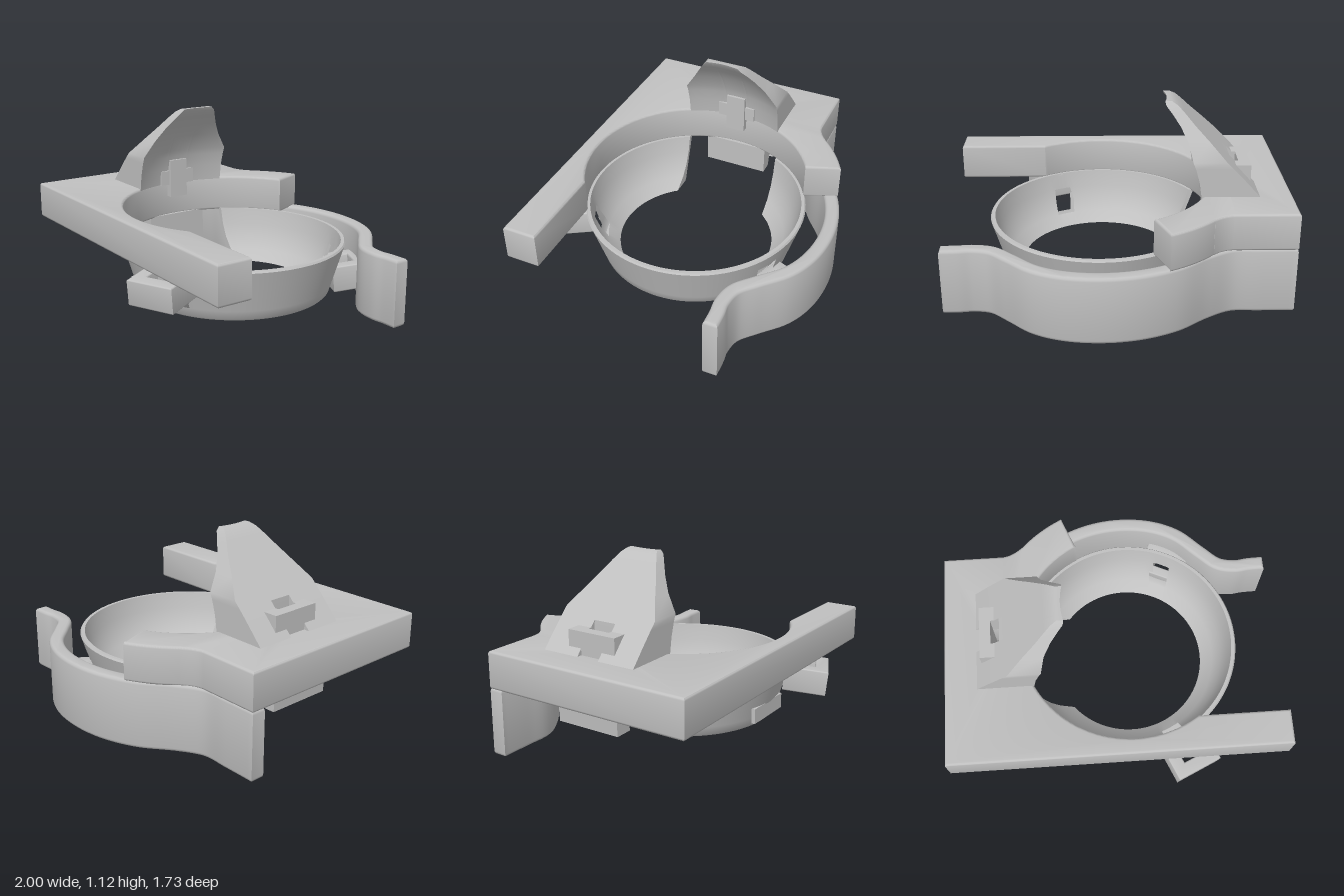
import * as THREE from 'three';
import { toCreasedNormals } from 'three/addons/utils/BufferGeometryUtils.js';

const CX = 0.1; // x of the cup axis
const BRACKET = 0.43; // angle of the side brackets off the z axis

export function createModel() {
  const model = new THREE.Group();
  const grey = new THREE.MeshStandardMaterial({ color: 0xc0c0c0, side: THREE.DoubleSide });
  grey.name = 'grey plastic';

  function add(name, geometry, parent = model) {
    const mesh = new THREE.Mesh(toCreasedNormals(geometry, 0.6), grey);
    mesh.name = name;
    parent.add(mesh);
    return mesh;
  }

  function box(name, x0, x1, y0, y1, z0, z1) {
    const mesh = add(name, new THREE.BoxGeometry(x1 - x0, y1 - y0, z1 - z0));
    mesh.position.set((x0 + x1) / 2, (y0 + y1) / 2, (z0 + z1) / 2);
  }

  // Horizontal slab from an outline in x and z
  function slab(shape, y0, y1, bevel) {
    const g = new THREE.ExtrudeGeometry(shape, {
      depth: y1 - y0 - 2 * bevel, bevelEnabled: true, bevelSize: bevel,
      bevelThickness: bevel, bevelOffset: -bevel, bevelSegments: 3, curveSegments: 64,
    });
    return g.rotateX(Math.PI / 2).translate(0, y1 - bevel, 0);
  }

  function rectPath(x0, x1, z0, z1, Type = THREE.Path) {
    return new Type([[x0, z0], [x1, z0], [x1, z1], [x0, z1]].map(p => new THREE.Vector2(...p)));
  }

  // Mounting plate with the long front bar and the shoulder over the back arm
  const plate = new THREE.Shape();
  plate.moveTo(-1, 0.74);
  plate.lineTo(-1, -0.54);
  plate.lineTo(-0.64, -0.54);
  plate.quadraticCurveTo(-0.58, -0.545, -0.52, -0.598);
  plate.absarc(CX, 0, 0.86, Math.atan2(-0.598, -0.62), Math.atan2(-0.776, -0.37), false);
  plate.lineTo(-0.19, -0.582);
  plate.absarc(CX, 0, 0.65, Math.atan2(-0.582, -0.29), Math.atan2(0.54, 0.362) - 2 * Math.PI, true);
  plate.lineTo(1, 0.54);
  plate.lineTo(1, 0.74);
  plate.closePath();
  plate.holes.push(rectPath(-0.71, -0.66, -0.07, 0.07));
  add('plate', slab(plate, 0.39, 0.612, 0.015));

  // Curved spring arm and the back wall it grows from
  const spine = new THREE.CatmullRomCurve3([
    [-1, -0.497], [-0.8, -0.497], [-0.63, -0.5], [-0.48, -0.58], [-0.3, -0.715], [-0.1, -0.795],
    [0.1, -0.82], [0.3, -0.795], [0.46, -0.725], [0.6, -0.598], [0.71, -0.505], [0.82, -0.482],
    [0.9, -0.49], [1, -0.493],
  ].map(([x, z]) => new THREE.Vector3(x, 0, z)));
  const near = [], far = [];
  for (let i = 0; i <= 80; i++) {
    const p = spine.getPoint(i / 80), t = spine.getTangent(i / 80);
    near.push(new THREE.Vector2(p.x - t.z * 0.042, p.z + t.x * 0.042));
    far.push(new THREE.Vector2(p.x + t.z * 0.042, p.z - t.x * 0.042));
  }
  add('springArm', slab(new THREE.Shape([...near, ...far.reverse()]), 0, 0.4, 0.02));

  // Tapered cup, open towards the tower where |z| < 0.3, with a window at each bracket
  const profile = [
    [0.47, 0.09], [0.565, 0.09], [0.575, 0.1], [0.59, 0.15], [0.635, 0.3], [0.662, 0.39],
    [0.655, 0.4], [0.635, 0.4], [0.615, 0.3], [0.585, 0.22], [0.54, 0.15], [0.48, 0.1], [0.47, 0.09],
  ].map(p => new THREE.Vector2(...p));
  const segments = 120;
  const cup = new THREE.LatheGeometry(profile, segments, -Math.PI / 2, 2 * Math.PI);
  const pos = cup.attributes.position;
  for (let k = 0; k < pos.count; k++) {
    const p = profile[k % profile.length];
    const turn = (Math.floor(k / profile.length) / segments) * 2 - 1;
    const phi = Math.PI / 2 + turn * (Math.PI - Math.asin(0.3 / p.x));
    pos.setXYZ(k, CX + p.x * Math.sin(phi), p.y, p.x * Math.cos(phi));
  }
  const faces = cup.index.array, kept = [];
  for (let f = 0; f < faces.length; f += 3) {
    const tri = [...faces.slice(f, f + 3)];
    const inWindow = tri.every(k => {
      const off = Math.atan2(pos.getX(k) - CX, Math.abs(pos.getZ(k))) - BRACKET;
      return Math.abs(off) < 0.13 && pos.getY(k) > 0.14 && pos.getY(k) < 0.31;
    });
    if (!inWindow) kept.push(...tri);
  }
  cup.setIndex(kept);
  add('cup', cup);
  const cupEnd = new THREE.Shape(profile.slice(0, -1).map(p =>
    new THREE.Vector2(CX - Math.sqrt(p.x * p.x - 0.09), p.y)));
  for (const side of [-1, 1]) add('cupEnd', new THREE.ShapeGeometry(cupEnd)).position.z = side * 0.3;

  // Leaning tower: levels of [height, back x, inner radius, half width]
  const levels = [
    [0.6, -0.82, 0.65, 0.3], [0.7, -0.73, 0.637, 0.3], [0.78, -0.655, 0.617, 0.3],
    [0.82, -0.615, 0.603, 0.3], [0.92, -0.52, 0.55, 0.235], [1.0, -0.44, 0.49, 0.185],
    [1.06, -0.385, 0.435, 0.147], [1.1, -0.345, 0.395, 0.12], [1.12, -0.31, 0.385, 0.1],
  ];
  function towerStrip(z0, z1, backLimit) {
    const n = 12, ring = 2 * n, verts = [], index = [];
    for (const [y, back, r, w] of levels) {
      const a = Math.max(z0, -w), b = Math.min(z1, w), inner = [], outer = [];
      for (let i = 0; i < n; i++) {
        const z = b + (a - b) * i / (n - 1);
        inner.push([CX - Math.sqrt(r * r - z * z), y, z]);
        outer.unshift([Math.max(back, backLimit), y, z]);
      }
      verts.push(...inner.flat(), ...outer.flat());
    }
    const quad = (a, b, c, d) => index.push(a, b, c, a, c, d);
    for (let l = 0; l < levels.length - 1; l++) {
      for (let i = 0; i < ring; i++) {
        const j = (i + 1) % ring, o = l * ring;
        quad(o + i, o + j, o + ring + j, o + ring + i);
      }
    }
    const top = (levels.length - 1) * ring;
    for (let i = 0; i < n - 1; i++) {
      quad(top + i, top + i + 1, top + ring - 2 - i, top + ring - 1 - i);
      quad(ring - 1 - i, ring - 2 - i, i + 1, i);
    }
    const g = new THREE.BufferGeometry();
    g.setAttribute('position', new THREE.Float32BufferAttribute(verts, 3));
    g.setIndex(index);
    return g;
  }
  add('towerLeft', towerStrip(0.07, 1, -1));
  add('towerCentre', towerStrip(-0.07, 0.07, -0.66));
  add('towerRight', towerStrip(-1, -0.07, -1));

  // Catch on the tower's back and latch on its inner face
  box('catchBack', -0.775, -0.71, 0.6, 0.745, -0.155, 0.155);
  for (const s of [-1, 1]) box('catchSide', -0.71, -0.68, 0.6, 0.745, s * 0.1125 - 0.0425, s * 0.1125 + 0.0425);
  box('latch', -0.6, -0.505, 0.52, 0.76, -0.06, 0.06);
  box('latchPin', -0.57, -0.52, 0.6, 0.69, -0.12, 0.12);

  // Hooks under the plate
  function hook(points) {
    const shape = new THREE.Shape(points.map(p => new THREE.Vector2(...p)));
    add('underHook', new THREE.ExtrudeGeometry(shape, { depth: 0.4, bevelEnabled: false })).position.z = -0.2;
  }
  hook([[-0.83, 0.4], [-0.82, 0.22], [-0.71, 0.22], [-0.75, 0.4]]);
  hook([[-0.66, 0.4], [-0.61, 0.22], [-0.53, 0.22], [-0.53, 0.4]]);

  // Hollow side brackets, built along +z and turned about the cup axis
  function bracket(name, turn, y0, y1, r0, r1, tilt) {
    const frame = rectPath(-0.14, 0.14, r0, r1, THREE.Shape);
    const mid = (r0 + r1) / 2;
    frame.holes.push(rectPath(-0.065, 0.065, mid - 0.05, mid + 0.05));
    const pivot = new THREE.Group();
    pivot.name = name + 'Mount';
    pivot.position.x = CX;
    pivot.rotation.y = turn;
    model.add(pivot);
    const h = (y1 - y0) / 2;
    const mesh = add(name, slab(frame, -h, h, 0.008).translate(0, 0, -mid), pivot);
    mesh.position.set(0, (y0 + y1) / 2, mid);
    mesh.rotation.x = tilt;
  }
  bracket('frontBracket', BRACKET, 0.235, 0.385, 0.625, 0.88, 0.1);
  bracket('backBracket', Math.PI - BRACKET, 0.06, 0.22, 0.585, 0.8, -0.1);

  // Raised pad on the front of the cup
  box('frontPad', -0.07, 0.25, 0.13, 0.22, 0.586, 0.608);

  return model;
}
